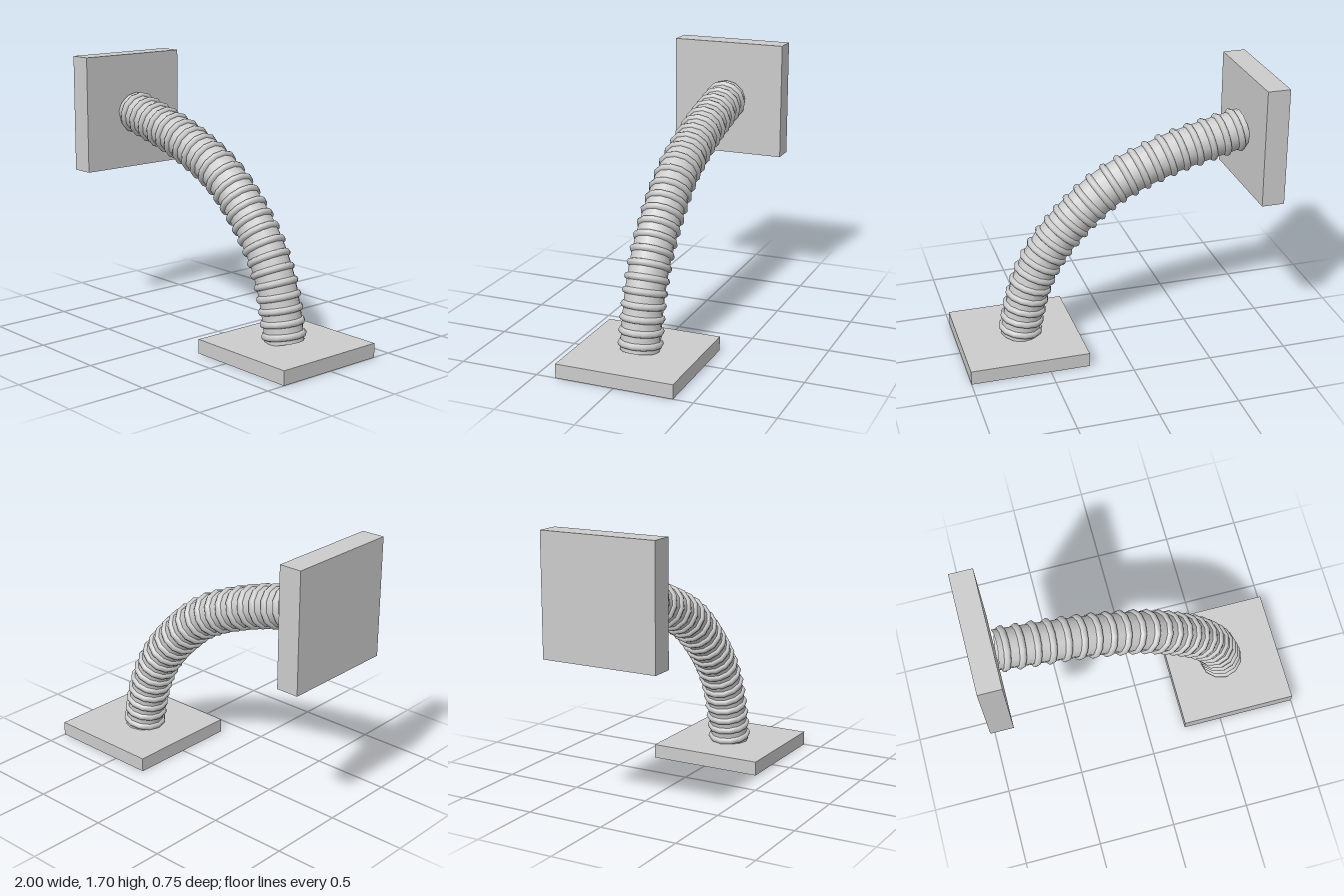
import * as THREE from 'three';

const material = new THREE.MeshStandardMaterial({ color: 0xcccccc });
const SIDES = 12;

function addMesh(parent, name, geometry, x = 0, y = 0, z = 0) {
  const mesh = new THREE.Mesh(geometry, material);
  mesh.name = name;
  mesh.position.set(x, y, z);
  parent.add(mesh);
  return mesh;
}

export function createModel() {
  const model = new THREE.Group();
  model.name = 'flexibleHose';

  // Mounting plates
  addMesh(model, 'wallPlate', new THREE.BoxGeometry(0.145, 0.75, 0.75), -0.9275, 1.328, 0);
  addMesh(model, 'floorPlate', new THREE.BoxGeometry(0.75, 0.09, 0.75), 0.625, 0.045, 0);

  // Hose centreline, from the wall face down to the floor plate
  const path = new THREE.CatmullRomCurve3([
    [-0.858, 1.332], [-0.6, 1.27], [-0.35, 1.2], [-0.01, 1.055], [0.14, 0.95],
    [0.31, 0.787], [0.43, 0.635], [0.525, 0.45], [0.58, 0.26], [0.612, 0.085],
  ].map(([x, y]) => new THREE.Vector3(x, y, 0)), false, 'centripetal');
  path.arcLengthDivisions = 600;
  addMesh(model, 'hose', new THREE.TubeGeometry(path, 60, 0.123, SIDES, false));

  // Raised ribs, square to the centreline, slightly closer together near the floor
  const ribs = new THREE.Group();
  ribs.name = 'ribs';
  model.add(ribs);
  const count = 24;
  const ribGeometry = new THREE.TorusGeometry(0.118, 0.023, 8, SIDES);
  const length = path.getLength();
  const steps = Array.from({ length: count - 1 }, (_, i) => (i < 11 ? 0.0927 : 0.084 - 0.0007 * (i - 11)));
  const scale = (length - 0.1) / steps.reduce((a, b) => a + b, 0);
  let s = 0.055;
  for (let i = 0; i < count; i++) {
    const u = s / length;
    const p = path.getPointAt(u);
    const rib = addMesh(ribs, 'rib', ribGeometry, p.x, p.y, p.z);
    rib.lookAt(p.clone().add(path.getTangentAt(u)));
    s += (steps[i] || 0) * scale;
  }
  return model;
}
